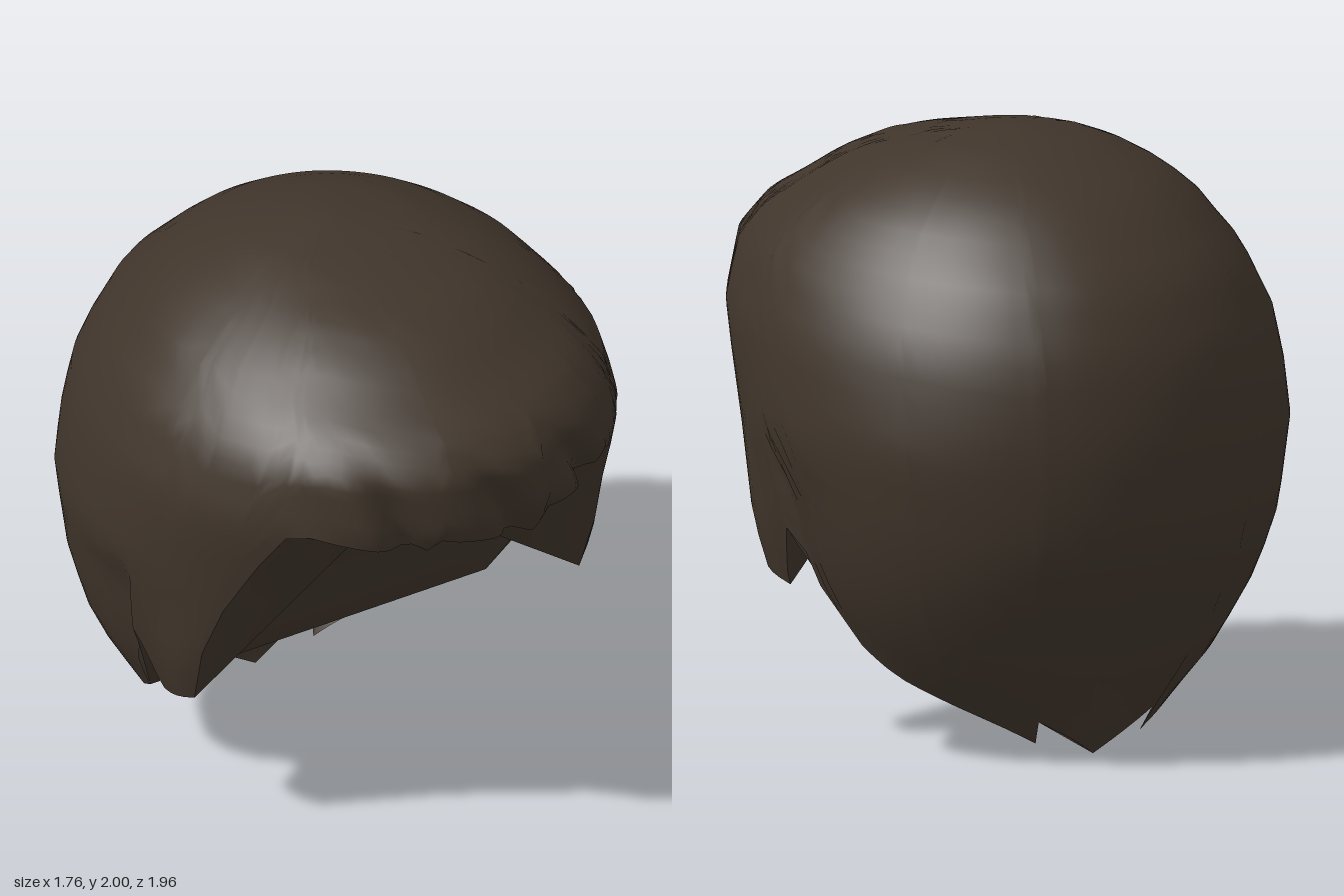
import * as THREE from 'three';

// Profile of the hair by height: [y, half width, back z, front z]
const PROFILE = [
  [2.00, 0.00, -0.10, -0.10], [1.97, 0.25, -0.28, 0.20], [1.91, 0.41, -0.44, 0.48],
  [1.85, 0.52, -0.56, 0.62], [1.77, 0.63, -0.67, 0.75], [1.70, 0.69, -0.74, 0.89],
  [1.60, 0.77, -0.84, 0.98], [1.40, 0.85, -0.94, 0.98], [1.24, 0.87, -0.97, 0.91],
  [1.05, 0.88, -0.98, 0.82], [0.76, 0.83, -0.94, 0.70], [0.55, 0.77, -0.85, 0.60],
  [0.30, 0.62, -0.71, 0.41], [0.15, 0.49, -0.61, 0.37], [0.00, 0.38, -0.53, 0.35],
];
// Hem height by angle from the front, in degrees: fringe, then one side to the nape
const FRINGE = [
  [-47, 1.38], [-42, 1.40], [-30, 1.36], [-15, 1.31], [-13, 1.37], [0, 1.32],
  [13, 1.24], [15, 1.36], [27, 1.33], [38, 1.31], [39.5, 1.37], [47, 1.30],
];
const SIDE = [
  [50, 1.24], [54, 1.00], [56, 0.80], [57, 0.58], [70, 0.53], [77, 0.70], [79, 0.74],
  [82, 0.62], [90, 0.36], [105, 0.26], [122, 0.18], [138, 0.11], [151, 0.05], [152.5, 0.13],
];
const HEM = [
  [-180, 0], ...SIDE.map(([a, y]) => [-a, y]).reverse(), ...FRINGE, ...SIDE, [180, 0],
];
const ROWS = 24;
const HOLLOW = [0, 1.14, 0.35];
const { clamp, lerp, smoothstep, degToRad } = THREE.MathUtils;
const ridge = (x, centre, width) => Math.exp(-(((x - centre) / width) ** 2));

// Linear lookup in a table sorted by its first column
function lookup(table, key, column) {
  const dir = Math.sign(table[1][0] - table[0][0]);
  let i = 1;
  while (i < table.length - 1 && (key - table[i][0]) * dir > 0) i++;
  const a = table[i - 1], b = table[i];
  return lerp(a[column], b[column], clamp((key - a[0]) / (b[0] - a[0]), 0, 1));
}

// Grooves between the fringe locks, and the step behind each sideburn
function groove(angle, s, y) {
  const slant = 45 * (1 - s), side = Math.abs(angle);
  let depth = 0;
  for (const c of [-19, 8, 33]) depth += 0.08 * ridge(angle, c - slant, 4.5) * smoothstep(s, 0.62, 0.95);
  if (side > 79) depth += 0.04 * ridge(side, 80, 18) * (1 - smoothstep(y, 0.88, 1.03));
  return depth;
}

// Point at an angle and a fraction s of the way from crown to hem
function hairPoint(angle, s, hem = lookup(HEM, angle, 1)) {
  const y = lerp(2, hem, s ** 1.6);
  const [w, back, front] = [1, 2, 3].map((c) => lookup(PROFILE, y, c));
  const t = degToRad(angle), k = 1 - groove(angle, s, y);
  // Sideburns hang straight rather than tucking in
  const flare = 1 + 0.12 * ridge(Math.abs(angle), 57, 13) * (1 - smoothstep(y, 0.55, 1.15));
  const x = w * k * flare * Math.sin(t);
  return [x, y, (front + back) / 2 + ((front - back) / 2) * k * Math.cos(t)];
}

function surface(name, positions, index, material) {
  const geometry = new THREE.BufferGeometry();
  geometry.setAttribute('position', new THREE.Float32BufferAttribute(positions, 3));
  geometry.setIndex(index);
  geometry.computeVertexNormals();
  const mesh = new THREE.Mesh(geometry, material);
  mesh.name = name;
  return mesh;
}

export function createModel() {
  const group = new THREE.Group();
  group.name = 'hair';
  const brown = new THREE.MeshStandardMaterial({ color: 0x40352b, side: THREE.DoubleSide });
  brown.name = 'dark brown hair';

  // Columns at every hem corner plus an even spread between them
  const set = new Set(HEM.map(([a]) => a));
  for (let a = -177; a < 180; a += 3) set.add(a);
  set.delete(180);
  const angles = [...set].sort((a, b) => a - b);
  const n = angles.length;

  // Outer hair: crown point, then rings down to the hem
  const outer = [0, 2, -0.1], outerIndex = [];
  for (let i = 1; i <= ROWS; i++) {
    for (const a of angles) outer.push(...hairPoint(a, i / ROWS));
  }
  const at = (i, j) => 1 + (i - 1) * n + (j % n);
  for (let j = 0; j < n; j++) {
    outerIndex.push(0, at(1, j), at(1, j + 1));
    for (let i = 1; i < ROWS; i++) {
      const a = at(i, j), b = at(i + 1, j), c = at(i + 1, j + 1), d = at(i, j + 1);
      outerIndex.push(a, b, c, a, c, d);
    }
  }
  group.add(surface('outerHair', outer, outerIndex, brown));

  // Front hollow: a fan from behind the fringe and sideburns to a point inside
  const fan = [...HOLLOW], fanIndex = [];
  const frontAngles = angles.filter((a) => Math.abs(a) <= 79);
  frontAngles.forEach((a, j) => {
    if (Math.abs(a) < 48) {
      const [x, y, z] = hairPoint(a, 1, 1.37);
      fan.push(x * 0.97, y, z * 0.96);
    } else {
      fan.push(...hairPoint(a, 1));
    }
    if (j > 0) fanIndex.push(1 + j, j, 0);
  });
  group.add(surface('frontHollow', fan, fanIndex, brown));

  // Nape hollow: a smooth sheet spanning from side to side down to the nape
  const sheet = [], sheetIndex = [], spans = 8;
  const rows = [79, 82, 90, 105, 122, 138, 152.5, 180];
  for (let j = 0; j <= spans; j++) sheet.push(...HOLLOW);
  for (const a of rows) {
    const [x, y, z] = hairPoint(a, 1);
    for (let j = 0; j <= spans; j++) sheet.push(lerp(-x, x, j / spans), y, z);
  }
  for (let i = 0; i < rows.length; i++) {
    for (let j = 0; j < spans; j++) {
      const a = i * (spans + 1) + j, b = a + spans + 1;
      sheetIndex.push(a, b, b + 1, a, b + 1, a + 1);
    }
  }
  group.add(surface('napeHollow', sheet, sheetIndex, brown));

  return group;
}
